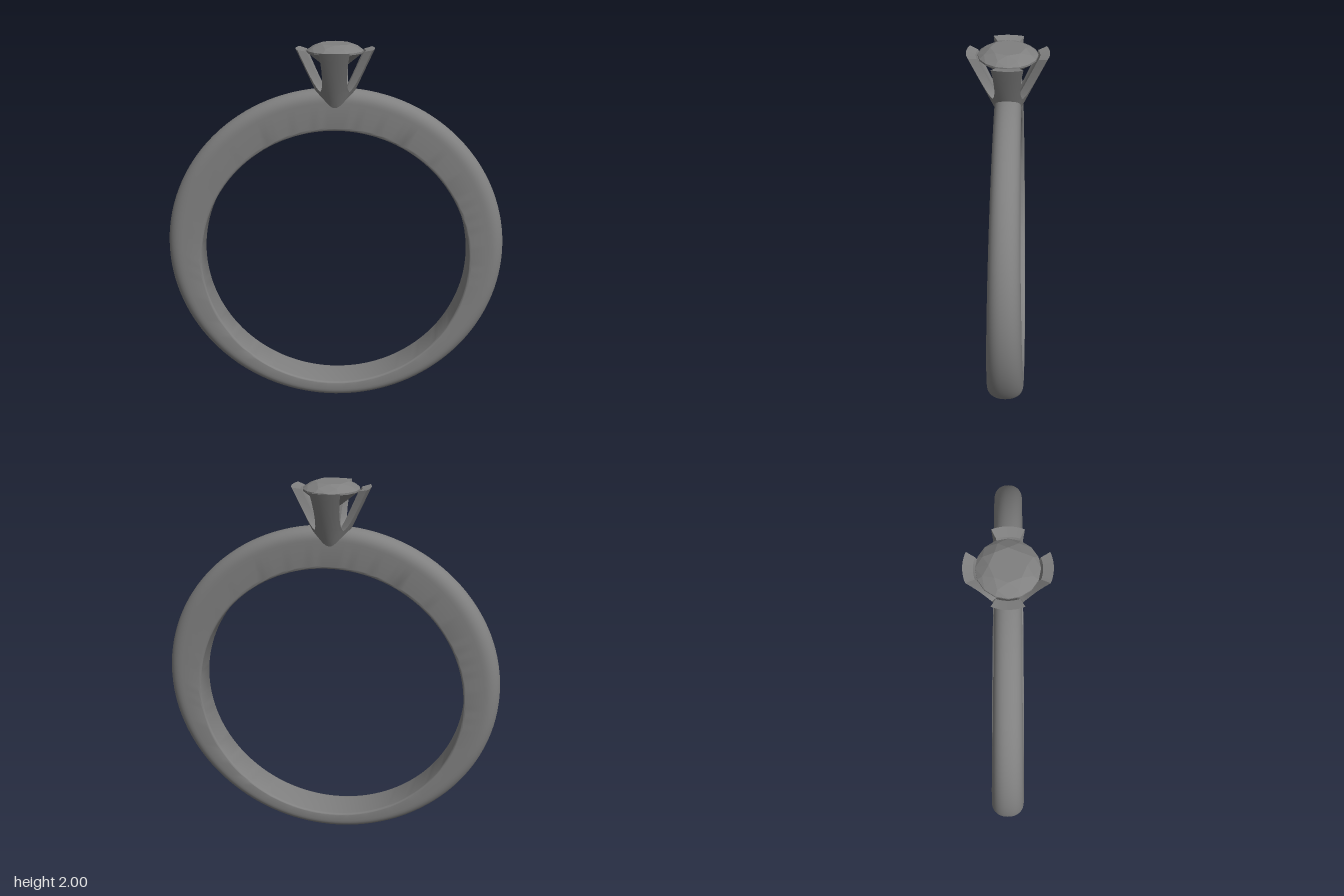
import * as THREE from 'three';
import { toCreasedNormals } from 'three/addons/utils/BufferGeometryUtils.js';
import { ConvexGeometry } from 'three/addons/geometries/ConvexGeometry.js';

// Skins a list of equal closed sections; optionally joins the ends or caps the last one
function loft(sections, { joined = false, cap = false } = {}) {
  const n = sections[0].length, rows = sections.length, index = [];
  for (let i = 0; i < (joined ? rows : rows - 1); i++) {
    const lo = i * n, hi = ((i + 1) % rows) * n;
    for (let j = 0; j < n; j++) {
      const k = (j + 1) % n;
      index.push(lo + j, lo + k, hi + j, hi + j, lo + k, hi + k);
    }
  }
  if (cap) {
    const s = (rows - 1) * n;
    for (let j = 0; j < n / 2 - 1; j++) {
      const a = s + j, b = s + n - 1 - j;
      index.push(a, a + 1, b, b, a + 1, b - 1);
    }
  }
  const geometry = new THREE.BufferGeometry();
  geometry.setAttribute('position', new THREE.Float32BufferAttribute(sections.flat(2), 3));
  geometry.setIndex(index);
  return toCreasedNormals(geometry, 0.6);
}

// Band section: u runs from the inside (0) to the outside (1), v across the width
function bandProfile(dome) {
  const profile = [], corner = 5, steps = 18;
  // softened inner edges with a flat face between them
  for (const side of [1, -1]) {
    for (let k = 0; k <= corner; k++) {
      const a = ((side > 0 ? k : corner - k) / corner) * Math.PI / 2;
      profile.push([0.08 * (1 - Math.sin(a)), side * (0.86 + 0.14 * Math.cos(a))]);
    }
  }
  // domed outside
  for (let k = 0; k <= steps; k++) {
    const a = (k / steps - 0.5) * Math.PI;
    profile.push([1 - dome + dome * Math.cos(a) ** 0.9, Math.sign(a) * Math.abs(Math.sin(a)) ** 0.9]);
  }
  return profile;
}

// Band: thicker at the top, wider and rounder at the bottom
function bandGeometry() {
  const sections = [], segments = 128;
  for (let i = 0; i < segments; i++) {
    const t = (i / segments) * Math.PI * 2, s = Math.sin(t), c = Math.cos(t);
    const halfWidth = 0.084 - 0.018 * c;
    sections.push(bandProfile(0.44 - 0.13 * c).map(([u, v]) => [
      THREE.MathUtils.lerp(0.725, 0.912, u) * s,
      THREE.MathUtils.lerp(0.832 + 0.728 * c, 0.887 + 0.887 * c, u),
      v * halfWidth,
    ]));
  }
  return loft(sections, { joined: true });
}

// Prong: quarter of a conical cup that narrows above its base
function prongGeometry() {
  const levels = [ // height, half angle in degrees
    [1.65, 45], [1.72, 45], [1.765, 45], [1.775, 39], [1.79, 34],
    [1.81, 30], [1.84, 26.5], [1.88, 24], [1.93, 22.5], [1.975, 22],
  ];
  const steps = 10;
  const sections = levels.map(([y, degrees]) => {
    const outer = 0.202 - (1.975 - y) * 0.462;
    const inner = Math.max(outer - 0.047, 0.005);
    const half = THREE.MathUtils.degToRad(degrees);
    const arc = (r, height, spread) => Array.from({ length: steps + 1 }, (_, k) => {
      const a = spread * ((2 * k) / steps - 1);
      return [r * Math.cos(a), height, -r * Math.sin(a)];
    });
    const innerHalf = degrees < 45 ? half * 0.92 : half;
    return [...arc(outer, y, half), ...arc(inner, y - 0.01, -innerHalf)];
  });
  return loft(sections, { cap: true });
}

// Faceted round stone
function gemGeometry() {
  const points = [new THREE.Vector3(0, 1.845, 0)];
  const ring = (count, radius, y, turn) => {
    for (let i = 0; i < count; i++) {
      const a = ((i + turn) / count) * Math.PI * 2;
      points.push(new THREE.Vector3(radius * Math.cos(a), y, radius * Math.sin(a)));
    }
  };
  ring(8, 0.085, 2.0, 0);
  ring(8, 0.122, 1.984, 0.5);
  ring(16, 0.146, 1.966, 0);
  ring(16, 0.146, 1.957, 0);
  ring(8, 0.07, 1.897, 0.5);
  return new ConvexGeometry(points);
}

export function createModel() {
  const group = new THREE.Group();
  const color = 0x808080;
  const metal = new THREE.MeshStandardMaterial({ color });
  const stone = new THREE.MeshStandardMaterial({ color, flatShading: true });
  const add = (name, geometry, material, parent = group) => {
    const mesh = new THREE.Mesh(geometry, material);
    mesh.name = name;
    parent.add(mesh);
    return mesh;
  };

  add('band', bandGeometry(), metal);

  // Setting of four prongs
  const setting = new THREE.Group();
  setting.name = 'setting';
  group.add(setting);
  const prong = prongGeometry();
  for (let i = 0; i < 4; i++) {
    add('prong', prong, metal, setting).rotation.y = (i * Math.PI) / 2;
  }

  add('gem', gemGeometry(), stone);
  return group;
}
